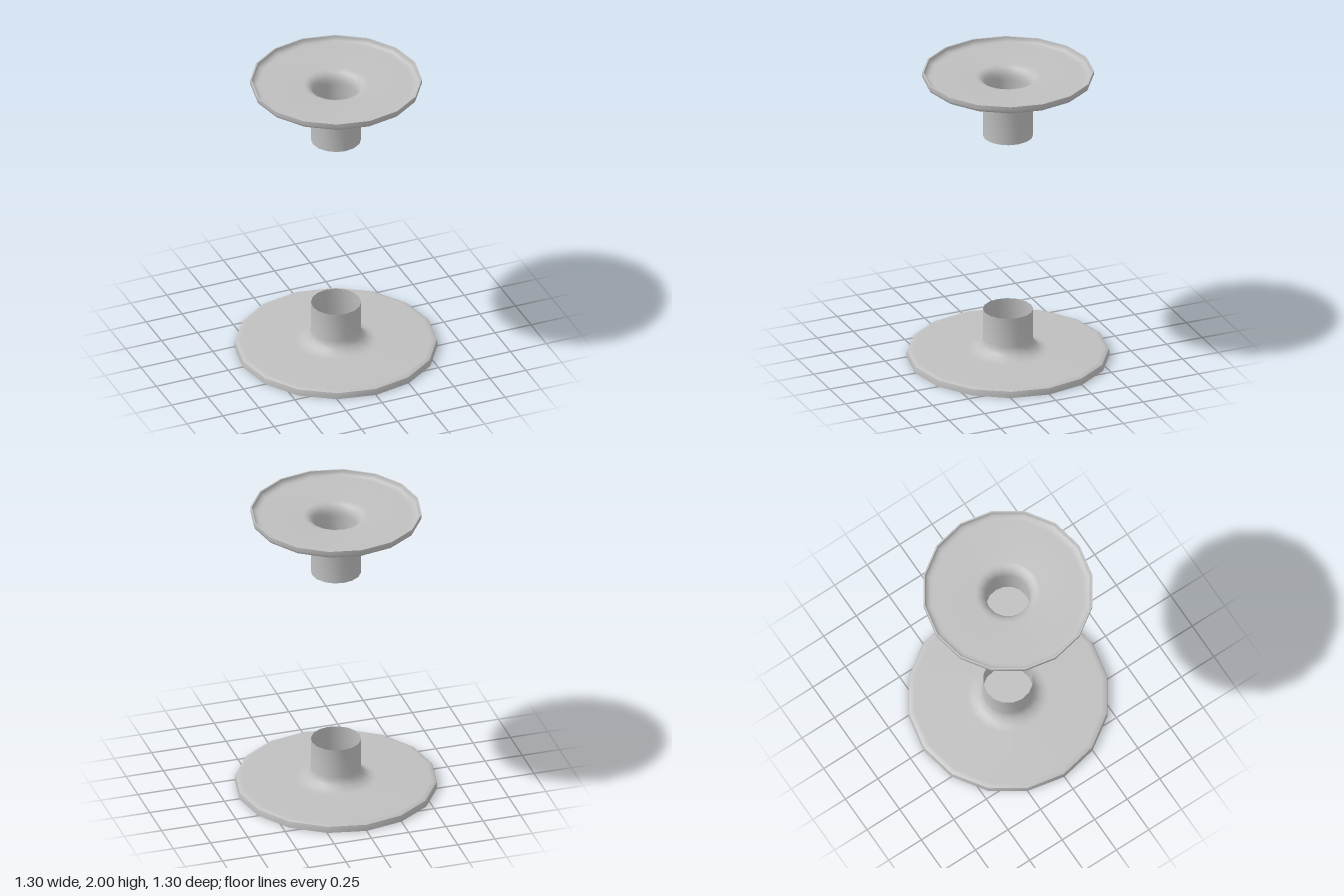
import * as THREE from 'three';
import { toCreasedNormals } from 'three/addons/utils/BufferGeometryUtils.js';

const SIDES = 16;

export function createModel() {
  const group = new THREE.Group();
  const grey = new THREE.MeshStandardMaterial({ color: 0xbfbfbf, side: THREE.DoubleSide });
  grey.name = 'grey';

  // Turn a profile of [radius, height] points into a mesh with crisp rims
  function turned(name, profile) {
    const points = profile.map(([r, y]) => new THREE.Vector2(r, y));
    const geometry = toCreasedNormals(new THREE.LatheGeometry(points, SIDES), 0.75);
    const mesh = new THREE.Mesh(geometry, grey);
    mesh.name = name;
    group.add(mesh);
  }

  // Wide closed base plate flowing into an open socket tube
  turned('base', [
    [0, 0], [0.65, 0], [0.65, 0.025], [0.645, 0.042], [0.63, 0.05], [0.61, 0.051],
    [0.26, 0.052], [0.235, 0.054], [0.205, 0.066], [0.18, 0.087], [0.166, 0.11],
    [0.161, 0.135], [0.161, 0.333],
  ]);

  // Socket tube flaring into the underside and outer rim of the top dish
  turned('topFlange', [
    [0.161, 1.555], [0.161, 1.865], [0.166, 1.89], [0.18, 1.913], [0.205, 1.934],
    [0.235, 1.944], [0.26, 1.946], [0.51, 1.946], [0.53, 1.948], [0.544, 1.957],
    [0.55, 1.973], [0.55, 2],
  ]);

  // Lip, shallow dish and the blind hole in its middle
  turned('topDish', [
    [0.55, 2], [0.54, 2], [0.538, 1.985], [0.528, 1.972], [0.51, 1.966], [0.49, 1.965],
    [0.21, 1.965], [0.19, 1.962], [0.168, 1.95], [0.152, 1.93], [0.144, 1.905],
    [0.142, 1.88], [0.142, 1.68], [0, 1.68],
  ]);

  return group;
}
